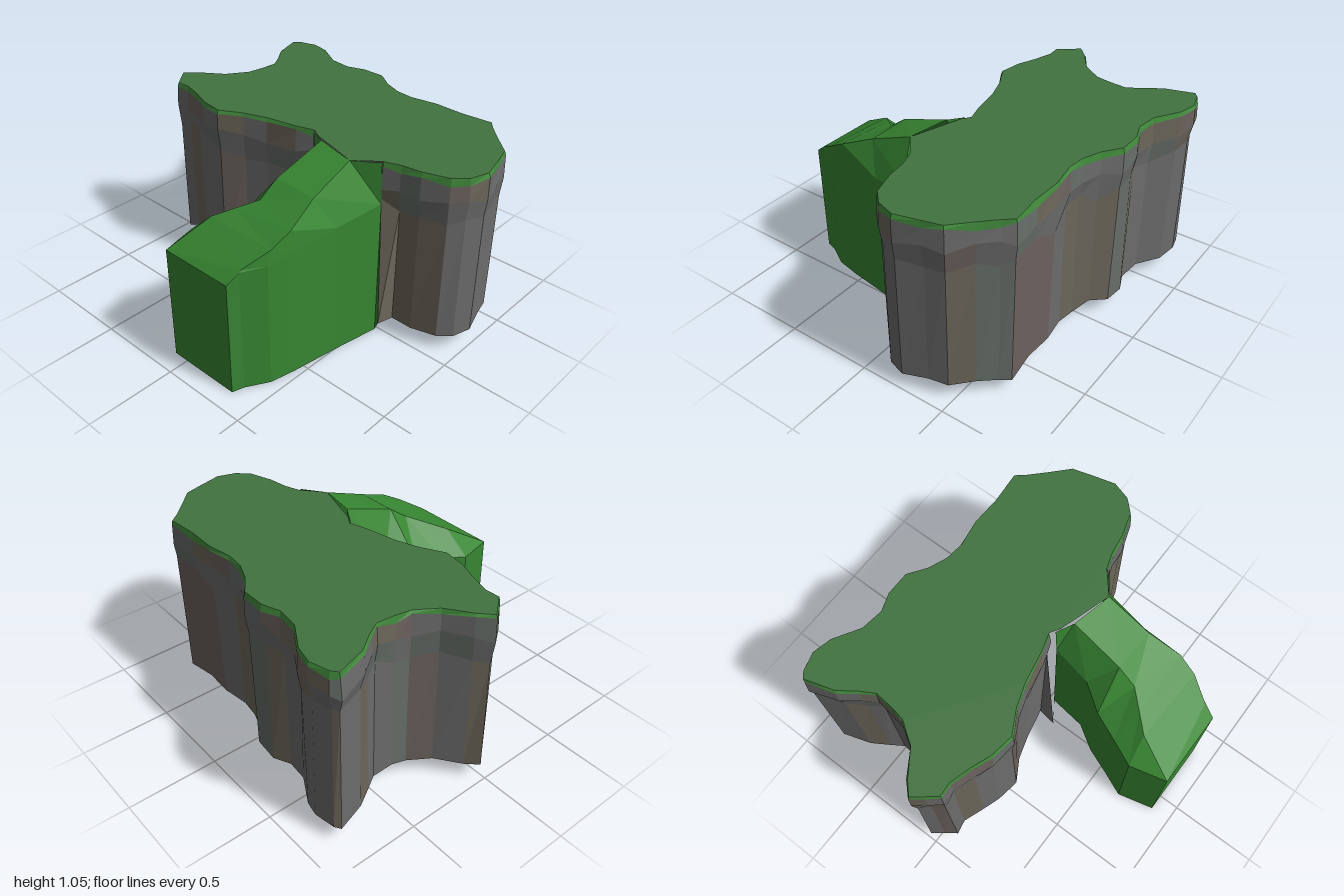
import * as THREE from 'three';

// Plateau outline (x, z): from the ramp's left side, round the back, to the ramp's right side
const OUTLINE = [
  [0.08, 0.01], [-0.02, 0.04], [-0.2, 0.075], [-0.33, 0.12], [-0.46, 0.19], [-0.6, 0.17], [-0.7, 0.13],
  [-0.82, 0.095], [-0.9, 0.1], [-0.95, 0.04], [-1, -0.03], [-0.93, -0.1], [-0.8, -0.19], [-0.725, -0.3],
  [-0.71, -0.38], [-0.7, -0.48], [-0.74, -0.55], [-0.81, -0.65], [-0.86, -0.82], [-0.82, -0.86],
  [-0.71, -0.89], [-0.6, -0.865], [-0.46, -0.78], [-0.34, -0.765], [-0.24, -0.8], [-0.1, -0.8],
  [0, -0.73], [0.1, -0.69], [0.2, -0.68], [0.35, -0.705], [0.52, -0.7], [0.7, -0.715], [0.75, -0.66],
  [0.83, -0.58], [0.93, -0.485], [0.96, -0.38], [0.995, -0.24], [0.96, -0.13], [0.89, -0.06],
  [0.75, -0.015], [0.64, 0], [0.55, 0.03],
];

let seed = 7;
const rand = () => (seed = (seed * 16807) % 2147483647) / 2147483647;

// Mesh from a flat list of triangle corners
function triMesh(name, tris, color) {
  const geo = new THREE.BufferGeometry();
  geo.setAttribute('position', new THREE.Float32BufferAttribute(tris.flat(), 3));
  geo.computeVertexNormals();
  const mesh = new THREE.Mesh(geo, new THREE.MeshStandardMaterial({
    color, flatShading: true, side: THREE.DoubleSide,
  }));
  mesh.name = name;
  return mesh;
}

const same = (a, b) => a.every((v, i) => v === b[i]);

// Adds a quad (corners counter-clockwise), dropping collapsed triangles
function quad(list, a, b, c, d) {
  for (const t of [[a, b, c], [a, c, d]]) {
    if (!same(t[0], t[1]) && !same(t[1], t[2]) && !same(t[0], t[2])) list.push(...t);
  }
}

// One ring of the cliff, moved along the outline's outward normal
function ring(y, yJitter, offset, offsetJitter) {
  const n = OUTLINE.length;
  return OUTLINE.map(([x, z], i) => {
    const p = OUTLINE[Math.max(i - 1, 0)], q = OUTLINE[Math.min(i + 1, n - 1)];
    const tx = q[0] - p[0], tz = q[1] - p[1], len = Math.hypot(tx, tz);
    const o = offset + (rand() - 0.5) * offsetJitter;
    return [x + (tz / len) * o, y + (rand() - 0.5) * yJitter, z - (tx / len) * o];
  });
}

function createCliff() {
  const group = new THREE.Group();
  group.name = 'cliff';
  const last = OUTLINE.length - 1;
  const rings = [
    ring(0.09, 0.045, -0.018, 0.012),
    ring(0.79, 0.08, -0.018, 0.012),
    ring(0.91, 0.05, -0.002, 0.004),
    ring(1.01, 0.03, -0.008, 0.008),
    ring(1.04, 0, -0.014, 0),
  ];
  // The wall's open ends splay outwards beside the ramp
  rings[0][0] = [-0.05, 0.11, 0.135];
  rings[0][last] = [0.63, 0.13, 0.1];

  // Rock facets sorted by tint, with a grass lip on the top band
  const tints = [0x6c6c6c, 0x6c625e, 0x666d68, 0x6c665a];
  const rock = tints.map(() => []);
  const lip = [];
  for (let r = 0; r < rings.length - 1; r++) {
    for (let i = 0; i < last; i++) {
      const tint = rand() < 0.55 ? 0 : 1 + Math.floor(rand() * 3);
      const list = r === rings.length - 2 ? lip : rock[tint];
      quad(list, rings[r][i + 1], rings[r][i], rings[r + 1][i], rings[r + 1][i + 1]);
    }
  }
  rock.forEach((tris, i) => group.add(triMesh('rockWall' + (i + 1), tris, tints[i])));
  group.add(triMesh('grassLip', lip, 0x418a3c));

  // Flat grass top, reaching out to meet the ramp
  const edge = [...rings[4].map(([x, , z]) => [x, z]), [0.42, 0.12], [0.13, 0.03]];
  const shape = new THREE.Shape(edge.map(([x, z]) => new THREE.Vector2(x, -z)));
  const top = new THREE.Mesh(
    new THREE.ShapeGeometry(shape).rotateX(-Math.PI / 2).translate(0, 1.04, 0),
    new THREE.MeshStandardMaterial({ color: 0x417340, flatShading: true, side: THREE.DoubleSide }),
  );
  top.name = 'grassTop';
  group.add(top);
  return group;
}

function createRamp() {
  // Sections front to back: left shoulder, left ridge, right ridge, right shoulder
  const sections = [
    [[-0.09, 0.66, 0.885], [-0.09, 0.66, 0.885], [0.34, 0.66, 0.885], [0.34, 0.66, 0.885]],
    [[-0.14, 0.66, 0.68], [0, 0.79, 0.66], [0.36, 0.72, 0.81], [0.36, 0.71, 0.82]],
    [[-0.08, 0.68, 0.54], [0.08, 0.83, 0.57], [0.43, 0.8, 0.68], [0.43, 0.72, 0.7]],
    [[-0.02, 0.71, 0.39], [0.16, 0.87, 0.48], [0.45, 0.86, 0.57], [0.46, 0.74, 0.56]],
    [[0.07, 0.76, 0.25], [0.17, 0.95, 0.37], [0.42, 0.94, 0.38], [0.5, 0.77, 0.3]],
    [[0.1, 0.82, 0.03], [0.19, 1.05, 0.07], [0.42, 1.04, 0.12], [0.55, 0.8, 0.02]],
  ].map((s) => [[s[0][0], 0, s[0][2]], ...s, [s[3][0], 0, s[3][2]]]);

  const tris = [];
  for (let s = 0; s < sections.length - 1; s++) {
    const a = sections[s], b = sections[s + 1];
    for (let j = 0; j < 5; j++) quad(tris, a[j], a[j + 1], b[j + 1], b[j]);
  }
  // Front face
  const f = sections[0];
  quad(tris, f[0], f[5], f[4], f[1]);
  // Fins joining the ramp's back corners to the ends of the rock wall
  const b = sections[5];
  tris.push(b[5], [0.63, 0.13, 0.1], b[4]);
  tris.push([-0.05, 0.11, 0.135], b[0], b[1]);
  // Shoulders rising to the grass top
  tris.push(b[3], b[4], [0.55, 1.04, 0.03]);
  tris.push(b[1], b[2], [0.1, 1.04, 0.02]);
  return triMesh('ramp', tris, 0x378632);
}

export function createModel() {
  const model = new THREE.Group();
  model.name = 'plateauWithRamp';
  model.add(createCliff(), createRamp());
  return model;
}
